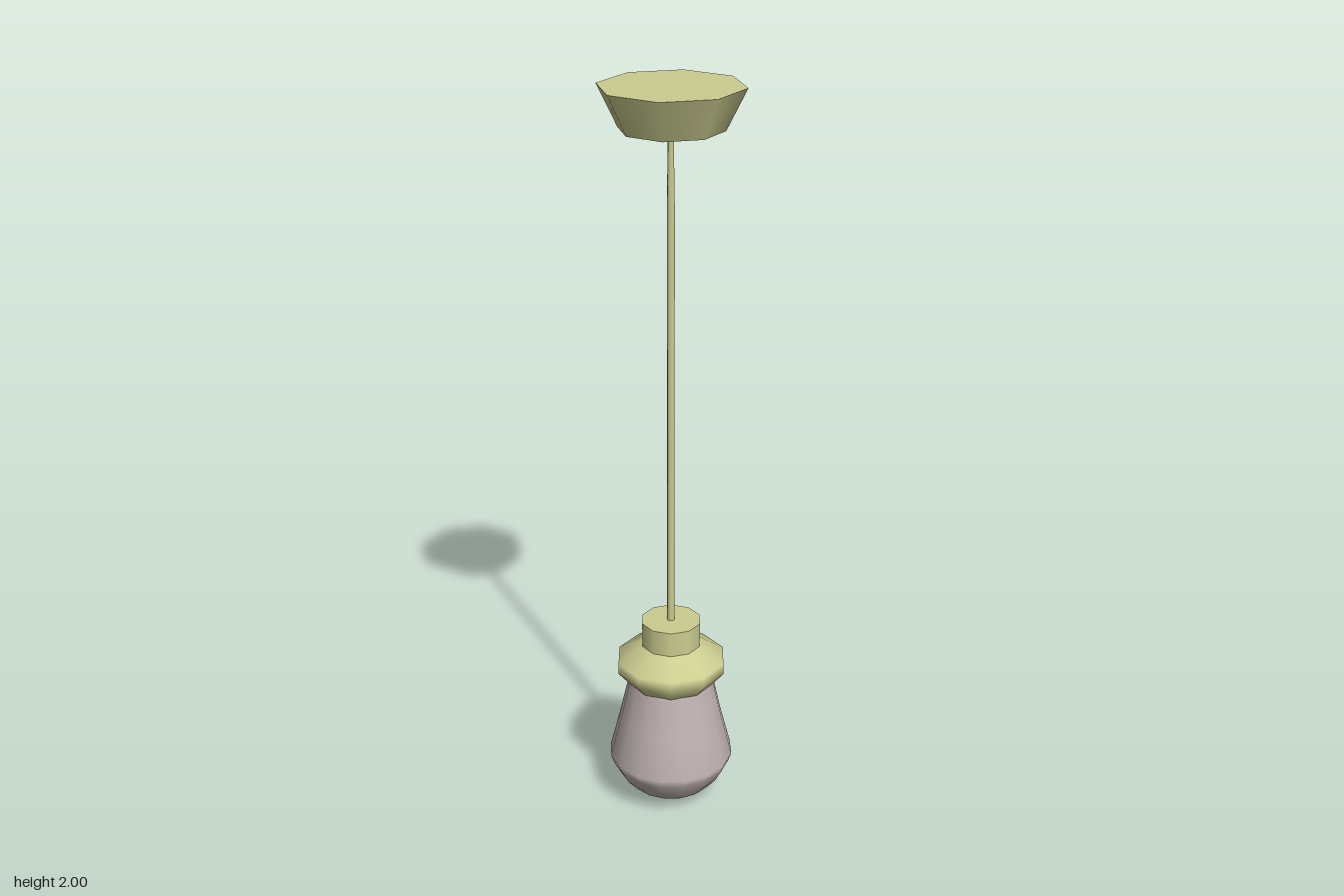
import * as THREE from 'three';

export function createModel() {
  const group = new THREE.Group();
  const cream = new THREE.MeshStandardMaterial({ name: 'cream', color: 0xcccd90 });
  const glass = new THREE.MeshStandardMaterial({ name: 'smokyGlass', color: 0xbfb1b1 });

  const add = (name, geometry, material, x = 0, y = 0) => {
    const mesh = new THREE.Mesh(geometry, material);
    mesh.name = name;
    mesh.position.set(x, y, 0);
    group.add(mesh);
    return mesh;
  };
  // Turned part with a corner on the x axis; profile runs bottom to top
  const turned = (profile, sides) => new THREE.LatheGeometry(
    profile.map(([r, y]) => new THREE.Vector2(r, y)), sides, Math.PI / 2);

  // Eight-sided ceiling canopy
  add('canopy', new THREE.CylinderGeometry(0.185, 0.133, 0.105, 8), cream, 0, 1.9475);

  // Hanging rod, slightly slimmer near the canopy
  add('rod', new THREE.CylinderGeometry(0.01, 0.01, 1.16, 8), cream, -0.003, 1.12);
  add('upperRod', new THREE.CylinderGeometry(0.007, 0.01, 0.2, 8), cream, -0.003, 1.8);

  // Flared lamp holder with a closed neck
  add('holder', turned([
    [0, 0.365], [0.118, 0.365], [0.118, 0.365], [0.15, 0.403], [0.15, 0.435],
    [0.082, 0.478],
  ], 10), cream, -0.002);
  const neck = add('neck', new THREE.CylinderGeometry(0.082, 0.082, 0.075, 10), cream, -0.002, 0.5105);
  neck.rotation.y = Math.PI / 2;

  // Tapered shade with a rounded bottom
  add('shade', turned([
    [0, 0], [0.04, 0.005], [0.08, 0.019], [0.115, 0.043], [0.144, 0.077], [0.163, 0.112],
    [0.171, 0.135], [0.142, 0.25], [0.115, 0.37],
  ], 16), glass, -0.003);

  return group;
}
